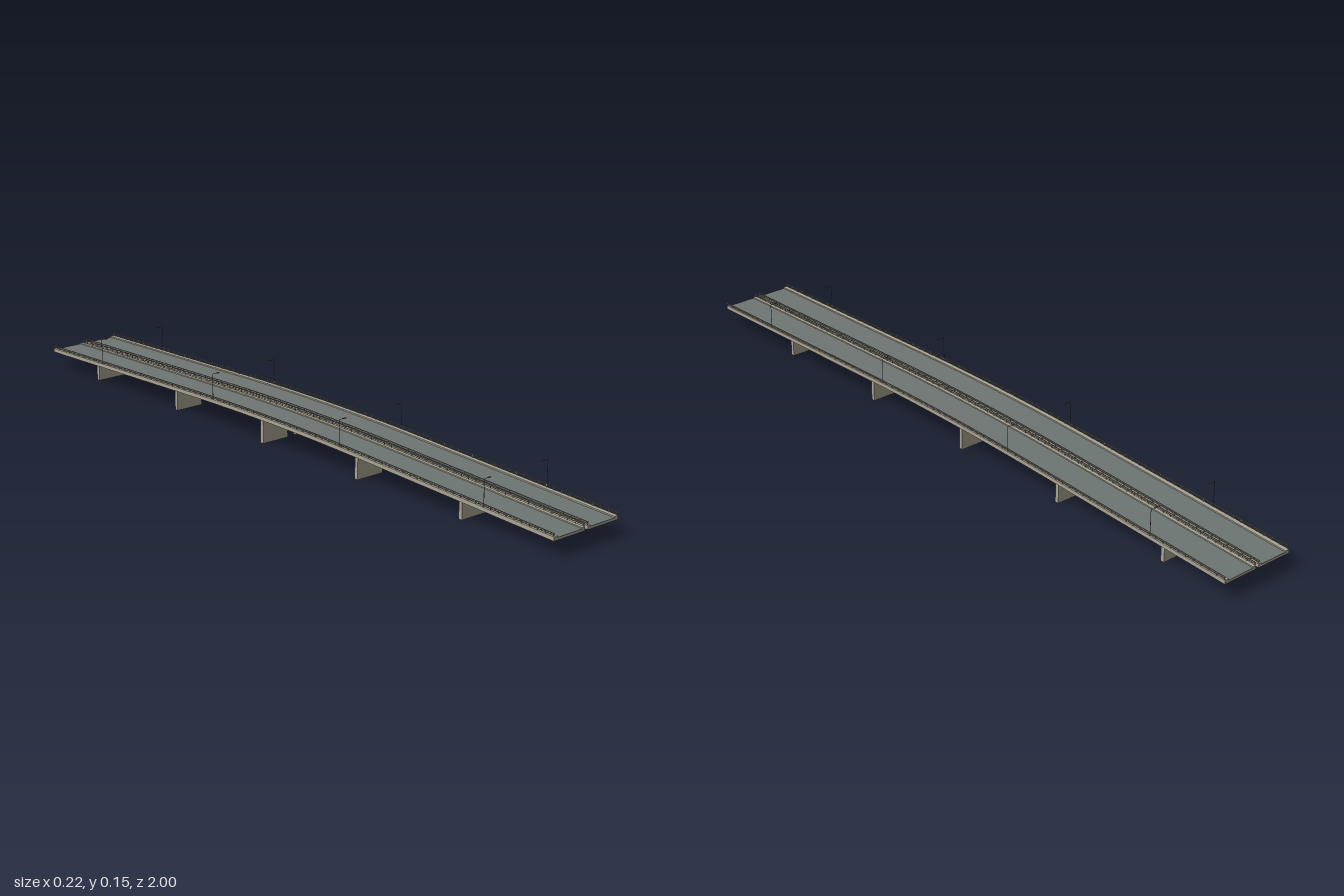
import * as THREE from 'three';
import { mergeGeometries } from 'three/addons/utils/BufferGeometryUtils.js';

const concrete = new THREE.MeshStandardMaterial({ color: 0xaaa493 });
concrete.name = 'concrete';
const asphalt = new THREE.MeshStandardMaterial({ color: 0x6e7674 });
asphalt.name = 'asphalt';
const railMetal = new THREE.MeshStandardMaterial({ color: 0x85857f });
railMetal.name = 'rail metal';
const lampMetal = new THREE.MeshStandardMaterial({ color: 0x50555a });
lampMetal.name = 'lamp metal';

// How far the roadway lies below its crown: rounded crest, straight ramps
function drop(z) {
  const a = Math.abs(z), crest = 0.35, slope = 0.034;
  return a < crest ? (slope * a * a) / (2 * crest) : slope * (a - crest / 2);
}

// Box by its limits; heights are given at the crown
function block(x0, x1, y0, y1, z0, z1, segments = 1) {
  const g = new THREE.BoxGeometry(x1 - x0, y1 - y0, z1 - z0, 1, 1, segments);
  g.translate((x0 + x1) / 2, (y0 + y1) / 2, (z0 + z1) / 2);
  return g;
}

// Full-length strip that follows the roadway curve
function strip(x0, x1, y0, y1) {
  const g = block(x0, x1, y0, y1, -1, 1, 40);
  const p = g.attributes.position;
  for (let i = 0; i < p.count; i++) p.setY(i, p.getY(i) - drop(p.getZ(i)));
  g.computeVertexNormals();
  return g;
}

// Two bars on evenly spaced posts
function railing(x) {
  const parts = [
    strip(x - 0.001, x + 0.001, 0.085, 0.0868),
    strip(x - 0.0007, x + 0.0007, 0.0812, 0.0824),
  ];
  const count = 80;
  for (let i = 0; i <= count; i++) {
    const z = -0.997 + (1.994 * i) / count;
    const post = block(x - 0.0008, x + 0.0008, 0.077, 0.086, z - 0.001, z + 0.001);
    parts.push(post.translate(0, -drop(z), 0));
  }
  return mergeGeometries(parts);
}

// Pole, arm reaching over the road, and flat lamp head
function streetLamp(side) {
  const pole = new THREE.CylinderGeometry(0.0006, 0.0009, 0.081, 8);
  pole.translate(side * 0.1068, 0.1085, 0);
  const arm = new THREE.CylinderGeometry(0.0006, 0.0006, 0.014, 8);
  arm.rotateZ(Math.PI / 2);
  arm.translate(side * 0.1, 0.1488, 0);
  const head = new THREE.BoxGeometry(0.01, 0.0015, 0.004);
  head.translate(side * 0.09, 0.1488, 0);
  return mergeGeometries([pole, arm, head]);
}

export function createModel() {
  const model = new THREE.Group();
  model.name = 'twinRoadBridge';

  for (const side of [1, -1]) {
    const half = new THREE.Group();
    half.name = side > 0 ? 'leftCarriageway' : 'rightCarriageway';
    model.add(half);
    const add = (name, geometry, material) => {
      const mesh = new THREE.Mesh(geometry, material);
      mesh.name = name;
      half.add(mesh);
      return mesh;
    };
    // Limits measured outward from the centre line
    const span = (a, b) => (side > 0 ? [a, b] : [-b, -a]);

    // Deck, road surface and kerbs
    add('deckSlab', strip(...span(0.0045, 0.1078), 0.0675, 0.0735), concrete);
    add('roadSurface', strip(...span(0.012, 0.0965), 0.073, 0.0745), asphalt);
    add('innerKerb', strip(...span(0.0045, 0.014), 0.073, 0.0775), concrete);
    add('outerKerb', strip(...span(0.0955, 0.1078), 0.073, 0.078), concrete);

    // Railings
    add('innerRailing', railing(side * 0.0062), railMetal);
    add('outerRailing', railing(side * 0.1066), railMetal);

    // Wall piers
    for (let i = 0; i < 5; i++) {
      const z = 0.69 - 0.37 * i;
      const top = 0.069 - drop(z);
      add('pier', block(...span(0.0145, 0.098), 0, top, z - 0.0055, z + 0.0055), concrete);
    }

    // Street lamps
    for (let i = 0; i < 4; i++) {
      const z = 0.775 - 0.51 * i;
      add('streetLamp', streetLamp(side), lampMetal).position.set(0, -drop(z), z);
    }
  }
  return model;
}
